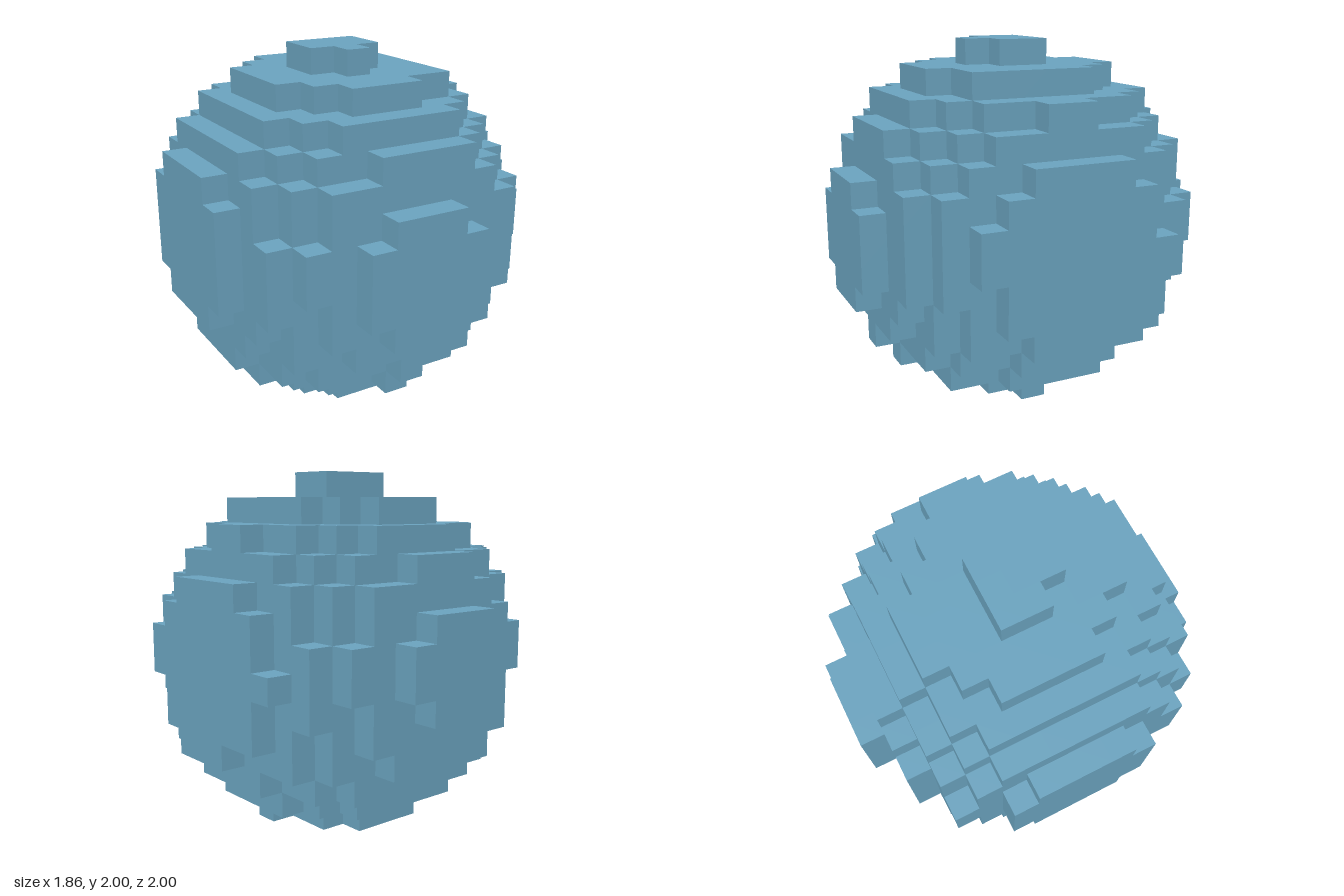
import * as THREE from 'three';
import { mergeGeometries } from 'three/addons/utils/BufferGeometryUtils.js';

const CELL = 1 / 7;                                  // edge of one block
const COUNT = [13, 14, 14];                          // blocks along x, y, z
const CENTRE = new THREE.Vector3(6.1, 6.25, 6.58);   // ball centre in block units
const RADIUS_SQ = 47.7;                              // squared radius in block units

// A block is filled when its middle lies inside the slightly off-grid ball
const filled = (p) => p.distanceToSquared(CENTRE) <= RADIUS_SQ;

const DIRECTIONS = [
  [1, 0, 0], [-1, 0, 0], [0, 1, 0], [0, -1, 0], [0, 0, 1], [0, 0, -1],
].map((d) => new THREE.Vector3(...d));

// One block face per direction, turned outward
const FACES = DIRECTIONS.map((d) => {
  const turn = new THREE.Quaternion().setFromUnitVectors(new THREE.Vector3(0, 0, 1), d);
  return new THREE.PlaneGeometry(CELL, CELL)
    .translate(0, 0, CELL / 2)
    .applyQuaternion(turn);
});

function buildBlockBall() {
  const parts = [];
  const cell = new THREE.Vector3();
  for (let i = 0; i < COUNT[0]; i++) {
    for (let j = 0; j < COUNT[1]; j++) {
      for (let k = 0; k < COUNT[2]; k++) {
        if (!filled(cell.set(i, j, k))) continue;
        // Keep only the faces that border empty space
        DIRECTIONS.forEach((d, n) => {
          if (filled(cell.clone().add(d))) return;
          parts.push(FACES[n].clone().translate(
            (i - 6) * CELL, (j + 0.5) * CELL, (k - 6.5) * CELL));
        });
      }
    }
  }
  return mergeGeometries(parts);
}

export function createModel() {
  const group = new THREE.Group();
  group.name = 'blockSphere';
  const blue = new THREE.MeshStandardMaterial({ color: 0x6ca5c1 });
  blue.name = 'softBlue';
  const ball = new THREE.Mesh(buildBlockBall(), blue);
  ball.name = 'steppedBall';
  group.add(ball);
  return group;
}
